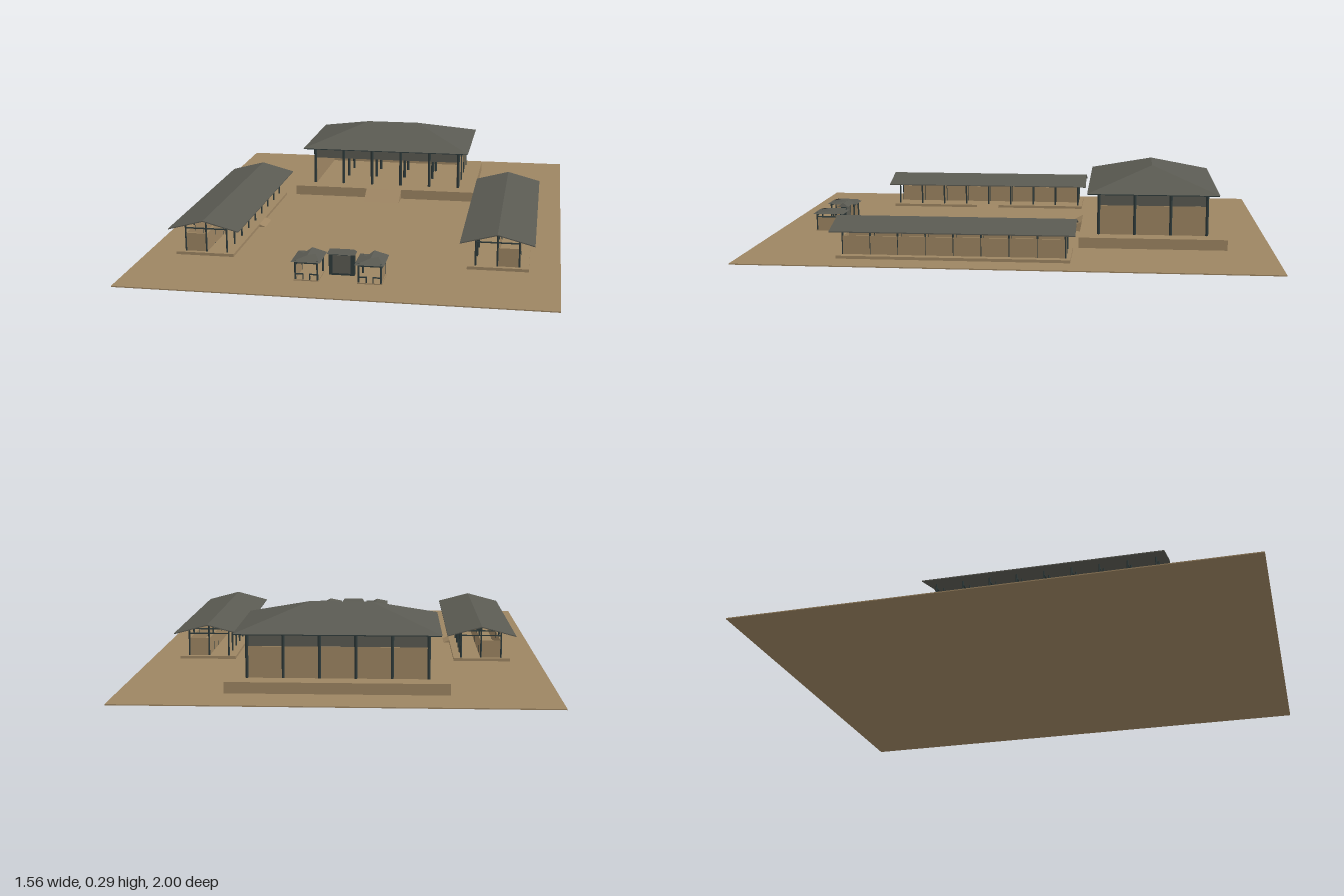
import * as THREE from 'three';

const mat = (name, color) => {
  const m = new THREE.MeshStandardMaterial({ color, side: THREE.DoubleSide, flatShading: true });
  m.name = name;
  return m;
};

export function createModel() {
  const earth = mat('earth', 0x9d8562);
  const tile = mat('roofTile', 0x5a5a52);
  const timber = mat('darkTimber', 0x2f3b3b);

  const add = (parent, name, geometry, material, x = 0, y = 0, z = 0) => {
    const m = new THREE.Mesh(geometry, material);
    m.name = name;
    m.position.set(x, y, z);
    parent.add(m);
    return m;
  };
  const group = (parent, name, x = 0, y = 0, z = 0) => {
    const g = new THREE.Group();
    g.name = name;
    g.position.set(x, y, z);
    parent.add(g);
    return g;
  };
  // box given by its extents
  const block = (p, name, m, x0, x1, y0, y1, z0, z1) =>
    add(p, name, new THREE.BoxGeometry(x1 - x0, y1 - y0, z1 - z0), m,
      (x0 + x1) / 2, (y0 + y1) / 2, (z0 + z1) / 2);
  const column = (p, name, r, x, y0, y1, z) =>
    add(p, name, new THREE.CylinderGeometry(r, r, y1 - y0, 8), timber, x, (y0 + y1) / 2, z);
  // profile in x/y, extruded along z about its middle
  const prism = (pts, depth) => {
    const s = new THREE.Shape(pts.map(([x, y]) => new THREE.Vector2(x, y)));
    return new THREE.ExtrudeGeometry(s, { depth, bevelEnabled: false }).translate(0, 0, -depth / 2);
  };
  // roof over a rectangle, with a ridge between points a and b
  const hipRoof = (x, z, h, a, b) => {
    const e = [[-x, 0, z], [x, 0, z], [x, 0, -z], [-x, 0, -z]];
    const A = [a[0], h, a[1]], B = [b[0], h, b[1]];
    const tris = [
      e[0], e[1], B, e[0], B, A, e[1], e[2], B,
      e[2], e[3], A, e[2], A, B, e[3], e[0], A,
      e[0], e[3], e[2], e[0], e[2], e[1]];
    const g = new THREE.BufferGeometry();
    g.setAttribute('position', new THREE.Float32BufferAttribute(tris.flat(), 3));
    g.computeVertexNormals();
    return g;
  };

  const root = new THREE.Group();
  root.name = 'courtyardCompound';
  block(root, 'ground', earth, -0.78, 0.78, 0, 0.004, -1, 1);

  // Main hall: terrace, open front, walls on three sides
  const hall = group(root, 'mainHall', 0, 0, -0.543);
  block(hall, 'terrace', earth, -0.4, 0.4, 0.004, 0.045, -0.285, 0.285);
  add(hall, 'terraceRamp', prism([[0, 0.004], [0.08, 0.004], [0, 0.045]], 0.155).rotateY(-Math.PI / 2),
    earth, 0, 0, 0.285);
  block(hall, 'backWall', earth, -0.325, 0.325, 0.045, 0.16, -0.212, -0.204);
  for (const s of [-1, 1]) {
    add(hall, 'sideWall', new THREE.BoxGeometry(0.008, 0.115, 0.42), earth, s * 0.322, 0.1025, 0);
  }
  for (let i = 0; i < 6; i++) {
    for (let j = 0; j < 4; j++) {
      column(hall, 'hallColumn', 0.006, -0.325 + i * 0.13, 0.045, 0.21, -0.21 + j * 0.14);
    }
  }
  block(hall, 'eaveFrieze', tile, -0.324, 0.324, 0.16, 0.212, -0.209, 0.209);
  block(hall, 'eaveBoard', timber, -0.368, 0.368, 0.207, 0.211, -0.253, 0.253);
  add(hall, 'hallRoof', hipRoof(0.37, 0.255, 0.08, [-0.115, 0], [0.115, 0]), tile, 0, 0.211, 0);

  // Long side galleries, the court side of each facing inward
  for (const s of [1, -1]) {
    const g = group(root, s > 0 ? 'leftGallery' : 'rightGallery', s * 0.55, 0, 0.197);
    if (s < 0) g.rotation.y = Math.PI;
    block(g, 'galleryPlinth', earth, -0.11, 0.115, 0.004, 0.015, -0.435, 0.435);
    add(g, 'galleryRamp', prism([[-0.11, 0.015], [-0.135, 0.004], [-0.11, 0.004]], 0.1), earth);
    // closed outer rooms
    block(g, 'outerWall', earth, 0.077, 0.083, 0.015, 0.085, -0.415, 0.415);
    block(g, 'middleWall', earth, -0.003, 0.003, 0.015, 0.085, -0.415, 0.415);
    for (const e of [-1, 1]) {
      add(g, 'endWall', new THREE.BoxGeometry(0.08, 0.07, 0.006), earth, 0.04, 0.05, e * 0.414);
    }
    for (let i = 0; i < 9; i++) {
      const z = (i - 4) * 0.104;
      column(g, 'innerPost', 0.0035, -0.08, 0.015, 0.118, z);
      column(g, 'middlePost', 0.0035, 0, 0.015, 0.142, z);
      column(g, 'outerPost', 0.0035, 0.08, 0.015, 0.118, z);
      block(g, 'tieBeam', timber, -0.08, 0.08, 0.103, 0.107, z - 0.003, z + 0.003);
    }
    // thin gabled roof
    add(g, 'galleryRoof', prism([[-0.136, 0.107], [0, 0.143], [0.136, 0.107],
      [0.136, 0.111], [0, 0.147], [-0.136, 0.111]], 0.908), tile);
  }

  // Gate: central door between two small pavilions
  const gate = group(root, 'gate', 0, 0, 0.79);
  for (const s of [-1, 1]) {
    const p = group(gate, 'gatePavilion', s * 0.114, 0, 0);
    const outer = s * 0.04;
    block(p, 'pavilionFloor', earth, -0.045, 0.045, 0.004, 0.008, -0.053, 0.055);
    block(p, 'pavilionSideWall', earth, outer - 0.002, outer + 0.002, 0.008, 0.06, -0.05, 0.05);
    block(p, 'pavilionSideBeam', timber, outer - 0.003, outer + 0.003, 0.06, 0.064, -0.05, 0.05);
    for (const x of [-0.04, 0.04]) {
      for (const z of [-0.05, 0.05]) column(p, 'pavilionPost', 0.0035, x, 0.006, 0.078, z);
      // low front rails either side of the entrance
      add(p, 'frontRail', new THREE.BoxGeometry(0.028, 0.004, 0.004), timber, x * 0.68, 0.028, 0.05);
      add(p, 'railPost', new THREE.BoxGeometry(0.004, 0.022, 0.004), timber, x * 0.3, 0.019, 0.05);
    }
    for (const z of [-0.05, 0.05]) {
      add(p, 'lintel', new THREE.BoxGeometry(0.084, 0.005, 0.005), timber, 0, 0.07, z);
    }
    add(p, 'pavilionRoof', hipRoof(0.053, 0.064, 0.016, [0, 0.028], [0, -0.062]).scale(1, 1, 1),
      tile, 0, 0.076, 0);
  }
  const door = group(gate, 'gateDoor', 0, 0, -0.033);
  block(door, 'doorFrame', timber, -0.047, 0.047, 0.004, 0.088, -0.01, 0.01);
  for (const s of [-1, 1]) {
    add(door, 'doorPanel', new THREE.BoxGeometry(0.066, 0.068, 0.003), tile, 0, 0.046, s * 0.0105);
  }
  add(door, 'doorRoof', hipRoof(0.052, 0.023, 0.015, [-0.044, 0], [0.044, 0]), tile, 0, 0.086, 0);

  return root;
}
